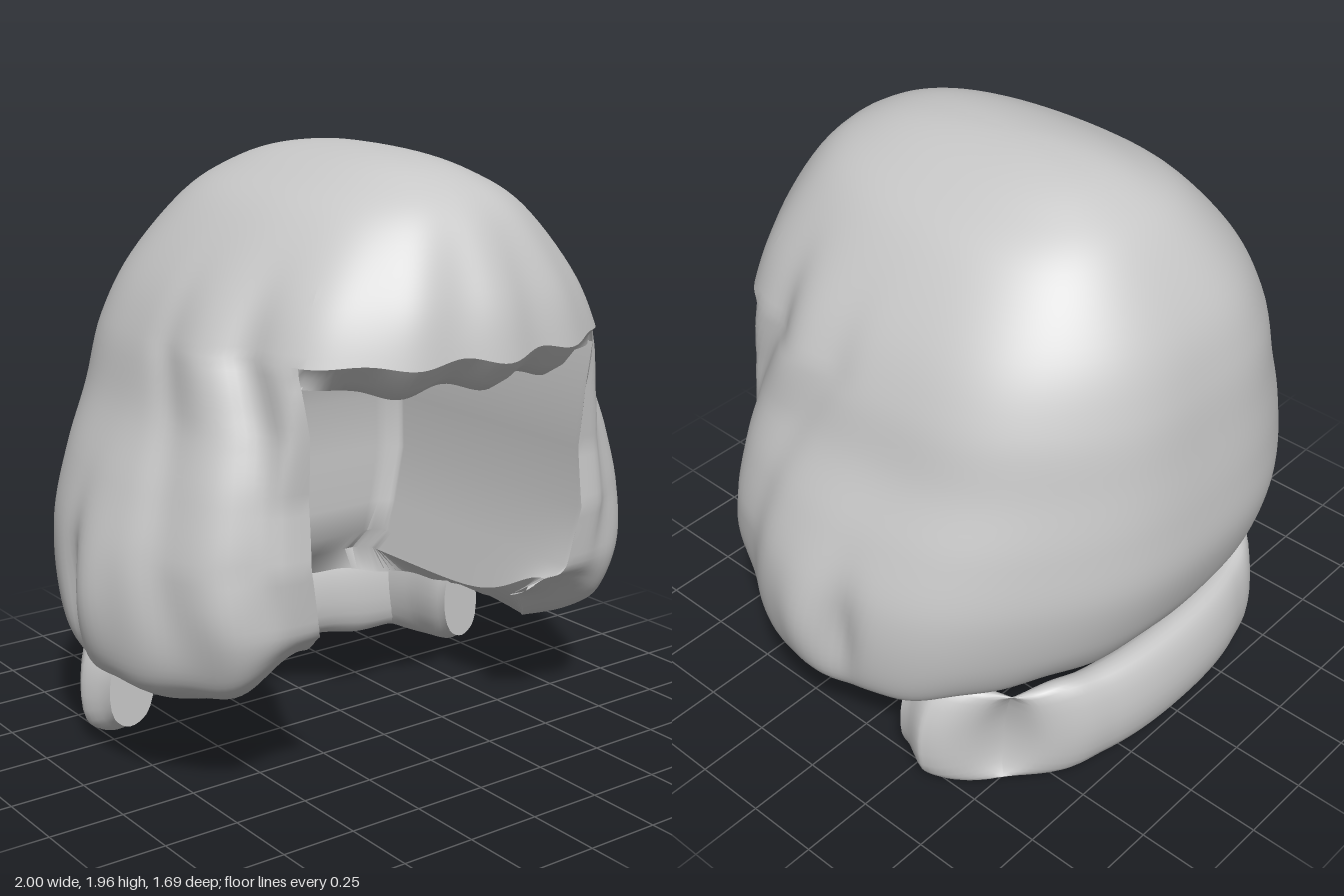
import * as THREE from 'three';
import { mergeGeometries, toCreasedNormals } from 'three/addons/utils/BufferGeometryUtils.js';

const { lerp, clamp, smoothstep } = THREE.MathUtils;
const bump = (v, centre, width) => Math.exp(-(((v - centre) / width) ** 2));

// Outer sections, crown to hem: height, half width, front depth, back depth, face-edge x, lock front limit
const SECTIONS = [
  [1.975, 0, 0, 0, 0, 0.62],
  [1.955, 0.14, 0.32, 0.25, 0.1, 0.62],
  [1.9, 0.28, 0.53, 0.42, 0.21, 0.62],
  [1.8, 0.44, 0.67, 0.56, 0.33, 0.62],
  [1.6, 0.615, 0.78, 0.71, 0.458, 0.62],
  [1.41, 0.72, 0.83, 0.78, 0.54, 0.62],
  [1.2, 0.79, 0.85, 0.815, 0.515, 0.6],
  [1.0, 0.89, 0.85, 0.84, 0.525, 0.58],
  [0.8, 0.965, 0.86, 0.845, 0.54, 0.6],
  [0.6, 0.98, 0.85, 0.79, 0.5, 0.58],
  [0.43, 0.95, 0.78, 0.71, 0.46, 0.53],
  [0.35, 0.86, 0.68, 0.64, 0.45, 0.48],
  [0.285, 0.7, 0.52, 0.56, 0.43, 0.4],
];
const FRINGE_ROW = 5;
const FRINGE_ANGLE = Math.asin(0.54 / 0.72);

// Section at a fractional row: smooth for the outline, straight for the face edge
function section(s) {
  const i = Math.min(Math.floor(s), SECTIONS.length - 2), f = s - i;
  const at = (k) => SECTIONS[Math.min(k, SECTIONS.length - 1)];
  return SECTIONS[0].map((_, c) => {
    const [a, b, q] = [at(i)[c], at(i + 1)[c], at(i + 2)[c]];
    if (c > 3) return lerp(a, b, f);
    const p = i > 0 ? at(i - 1)[c] : c === 0 ? b : -b;
    return a + 0.5 * f * (b - p + f * (2 * p - 5 * a + 4 * b - q + f * (3 * (a - b) + q - p)));
  });
}

const edgeAngle = (s, sec) => (s <= FRINGE_ROW ? FRINGE_ANGLE : Math.asin(clamp(sec[4] / sec[1], 0, 1)));

// Point on the outer hair surface at angle t (0 = front, towards +x)
function outer(s, t) {
  const sec = section(s), [y, a, zf, zb, , limit] = sec;
  const m = t > Math.PI ? 2 * Math.PI - t : Math.abs(t);
  const d = m - edgeAngle(s, sec);
  const c = Math.cos(t);
  const w = smoothstep(1.95 - y, 0, 0.5);
  let r = 1 + w * (0.012 * Math.cos(15 * t) * bump(m, 0, 1) + 0.006 * Math.cos(9 * t));
  r += 0.06 * smoothstep(y, 0.7, 1.4) * Math.sin(2 * t) ** 2;
  if (s > 3) {
    const fold = smoothstep(1.75 - y, 0, 0.4) * smoothstep(y, 0.42, 0.7);
    r += fold * (0.02 * bump(d, 0.42, 0.1) - 0.045 * bump(d, 0.22, 0.09) - 0.015 * bump(d, 0.62, 0.08));
    r += 0.022 * bump(m, 1.53, 0.1) * bump(y, 0.62, 0.18) - 0.04 * bump(m, 1.72, 0.08) * bump(y, 0.64, 0.2);
  }
  let z = c * (c > 0 ? zf : zb) * r;
  if (s > FRINGE_ROW) z = -Math.log(Math.exp(-25 * z) + Math.exp(-25 * limit)) / 25;
  const low = 1 - smoothstep(y, 0.34, 0.62);
  const lift = low * (0.17 * bump(d, 0, 0.28) + 0.04 * smoothstep(-c, 0.2, 0.9) + 0.006 * Math.cos(17 * t));
  return [a * r * Math.sin(t), y + lift, z];
}

// Rectangular mesh from a rule giving a point for each column and row
function grid(cols, rows, point) {
  const pos = [], index = [];
  for (let j = 0; j <= rows; j++) for (let i = 0; i <= cols; i++) pos.push(...point(i / cols, j));
  for (let j = 0; j < rows; j++) {
    for (let i = 0; i < cols; i++) {
      const a = j * (cols + 1) + i, b = a + cols + 1;
      index.push(a, b, a + 1, a + 1, b, b + 1);
    }
  }
  const g = new THREE.BufferGeometry();
  g.setAttribute('position', new THREE.Float32BufferAttribute(pos, 3));
  g.setIndex(index);
  return g;
}

const CEILING = [0, 1.48, 0.2];
const STEP = 6;

// Back, sides and locks: down the outside, round the hem, up the inside of the cavity
function bodyGeometry() {
  const last = (SECTIONS.length - 1) * STEP;
  const inside = [[10.2, 0.47], [9.6, 0.4], [9, 0.39], [8, 0.39], [7, 0.39], [6, 0.33], [5.3, 0.24]];
  return grid(150, last + inside.length + 1, (u, j) => {
    if (j <= last) {
      const s = j / STEP, te = edgeAngle(s, section(s));
      return outer(s, lerp(te, 2 * Math.PI - te, u));
    }
    const row = inside[j - last - 1];
    if (!row) return CEILING;
    const [s, back] = row, rim = outer(s, edgeAngle(s, section(s)));
    const t = lerp(0.75, 2 * Math.PI - 0.75, u), c = Math.cos(t);
    const y = lerp(section(s)[0], rim[1], bump(Math.min(u, 1 - u), 0, 0.08));
    return [
      rim[0] * clamp(Math.sin(t) / Math.sin(0.75), -1, 1),
      y,
      c > 0 ? (c / Math.cos(0.75)) * rim[2] : Math.max(c * 1.25, -1) * back,
    ];
  });
}

// Fringe: outside of the brow, scalloped lip, and ceiling above the face
function fringeGeometry() {
  const last = FRINGE_ROW * STEP;
  const lip = [[0.93, 1.345, 1], [0.86, 1.31, 1], [0.68, 1.33, 0]];
  return grid(64, last + lip.length + 1, (u, j) => {
    const t = lerp(-FRINGE_ANGLE, FRINGE_ANGLE, u);
    if (j <= last) {
      const p = outer(j / STEP, t);
      p[1] -= 0.014 * Math.cos(15 * t) * bump(j, last, 3) * Math.cos(t * 1.7);
      return p;
    }
    const row = lip[j - last - 1];
    if (!row) return CEILING;
    const p = outer(FRINGE_ROW, t), side = smoothstep(Math.abs(u - 0.5), 0.36, 0.5);
    const k = lerp(row[0], 0.97, side);
    return [p[0] * lerp(k, 1, 0.5), row[1] + 0.05 * side - row[2] * 0.016 * Math.cos(15 * t), p[2] * k];
  });
}

// Lumpy rolled curl around the nape
function rollGeometry() {
  const half = [[0.7, -0.2], [0.71, -0.36], [0.62, -0.53], [0.36, -0.65]];
  const points = [...half, [0, -0.69], ...half.map(([x, z]) => [-x, z]).reverse()];
  const path = new THREE.CatmullRomCurve3(points.map(([x, z]) => new THREE.Vector3(x, 0, z)));
  const profile = new THREE.CatmullRomCurve3([
    [-0.1, 0.27], [-0.09, 0.08], [-0.02, 0.03], [0.06, 0.07], [0.1, 0.23], [0.05, 0.4], [-0.03, 0.4],
  ].map(([r, y]) => new THREE.Vector3(r, y, 0)), true);
  const rows = 90;
  return grid(28, rows, (u, j) => {
    const f = clamp((j - 1) / (rows - 2), 0, 1);
    const p = path.getPointAt(f), tan = path.getTangentAt(f), q = profile.getPoint(u);
    const e = Math.min(f, 1 - f);
    const size = j === 0 || j === rows ? 0
      : 1 - 0.22 * bump(e, 0, 0.03) + 0.06 * bump(e, 0.1, 0.06) - 0.06 * bump(e, 0.18, 0.03) + 0.07 * bump(e, 0.26, 0.04);
    const r = q.x * size, y = 0.22 + (q.y - 0.22) * size;
    return [p.x + tan.z * r, y, p.z + tan.x * r];
  });
}

export function createModel() {
  const group = new THREE.Group();
  group.name = 'bobbedHair';
  const hair = new THREE.MeshStandardMaterial({ color: 0xc8c8c8, side: THREE.DoubleSide });
  hair.name = 'hairGrey';
  const add = (name, geometry) => {
    const mesh = new THREE.Mesh(toCreasedNormals(geometry, 0.8), hair);
    mesh.name = name;
    group.add(mesh);
  };
  add('hairShellAndFringe', mergeGeometries([bodyGeometry(), fringeGeometry()]));
  add('napeRoll', rollGeometry());
  return group;
}
